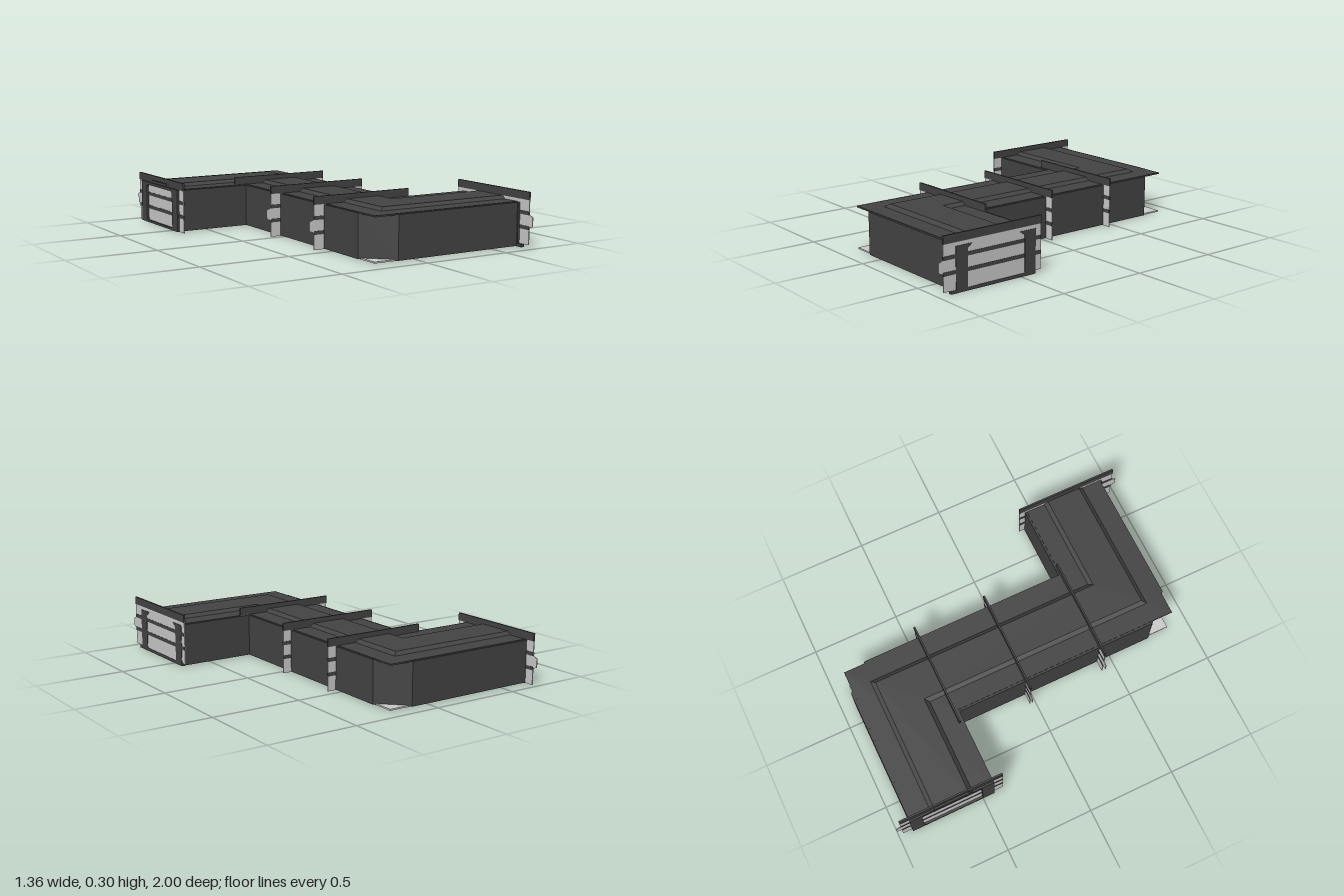
import * as THREE from 'three';

const dark = new THREE.MeshStandardMaterial({ color: 0x444444, flatShading: true });
const grey = new THREE.MeshStandardMaterial({ color: 0xcccccc, flatShading: true });

function add(parent, name, geometry, material) {
  const mesh = new THREE.Mesh(geometry, material);
  mesh.name = name;
  parent.add(mesh);
  return mesh;
}

function box(parent, name, x0, x1, y0, y1, z0, z1, material = dark) {
  const mesh = add(parent, name, new THREE.BoxGeometry(x1 - x0, y1 - y0, z1 - z0), material);
  mesh.position.set((x0 + x1) / 2, (y0 + y1) / 2, (z0 + z1) / 2);
  return mesh;
}

function extrude(points, depth) {
  const shape = new THREE.Shape(points.map(([x, y]) => new THREE.Vector2(x, y)));
  return new THREE.ExtrudeGeometry(shape, { depth, bevelEnabled: false });
}

// Slab from a plan outline of [x, z] points
function slab(parent, name, plan, y0, y1, material) {
  const geometry = extrude(plan.map(([x, z]) => [x, -z]), y1 - y0);
  geometry.rotateX(-Math.PI / 2).translate(0, y0, 0);
  return add(parent, name, geometry, material);
}

// Sweeps an [offset, y] profile along the centre line with mitred corners
function sweep(parent, name, profile, material) {
  const path = [[-0.684, -0.675, 0], [-0.005, -0.675, -1], [-0.005, 0.655, -1], [0.676, 0.655, 0]];
  const positions = [], index = [], n = profile.length;
  for (const [x, z, mitre] of path)
    for (const [offset, y] of profile) positions.push(x + mitre * offset, y, z + offset);
  for (let i = 0; i < path.length - 1; i++)
    for (let j = 0; j < n - 1; j++) {
      const a = i * n + j, b = a + 1, c = a + n, d = c + 1;
      index.push(a, b, c, b, d, c);
    }
  let geometry = new THREE.BufferGeometry();
  geometry.setAttribute('position', new THREE.Float32BufferAttribute(positions, 3));
  geometry.setIndex(index);
  geometry = geometry.toNonIndexed();
  geometry.computeVertexNormals();
  return add(parent, name, geometry, material);
}

// Thin bulkhead standing along local x: grey panel, dark top rail and two dark bars
function bulkhead(parent, name, lo, hi, tab) {
  const group = new THREE.Group();
  group.name = name;
  const outline = [[lo, 0], [hi, 0]];
  if (tab > 0) outline.push([hi, 0.09], [hi + 0.027, 0.1], [hi + 0.027, 0.15], [hi, 0.16]);
  outline.push([hi, 0.24], [lo, 0.24]);
  if (tab < 0) outline.push([lo, 0.16], [lo - 0.027, 0.15], [lo - 0.027, 0.1], [lo, 0.09]);
  add(group, 'panel', extrude(outline, 0.005).translate(0, 0, -0.0025), grey);
  box(group, 'topRail', lo, hi, 0.238, 0.281, -0.005, 0.005);
  for (const y of [0.09, 0.168]) box(group, 'crossBar', lo, hi, y - 0.01, y + 0.01, -0.004, 0.004);
  parent.add(group);
  return group;
}

// Upright on an end, flared towards the opening at top and bottom
function endPost(parent, x0, x1, outer, inner) {
  const flare = inner + Math.sign(inner - outer) * 0.03;
  const points = [[-outer, 0], [-flare, 0], [-inner, 0.018], [-inner, 0.212], [-flare, 0.235], [-outer, 0.235]];
  const mesh = add(parent, 'endPost', extrude(points, x1 - x0).rotateY(Math.PI / 2), dark);
  mesh.position.x = x0;
}

export function createModel() {
  const model = new THREE.Group();
  model.name = 'corridor';

  // Corridor walls with chamfered outer corners
  slab(model, 'walls', [
    [-0.662, -0.92], [0.1, -0.92], [0.24, -0.78], [0.24, 0.41], [0.67, 0.41],
    [0.67, 0.893], [-0.1, 0.893], [-0.247, 0.75], [-0.247, -0.43], [-0.662, -0.43],
  ], 0.002, 0.235, dark);

  // Floor and roof sheets keep their square corners
  const sheet = [
    [-0.675, -0.907], [0.228, -0.907], [0.228, 0.422], [0.67, 0.422],
    [0.67, 0.88], [-0.235, 0.88], [-0.235, -0.442], [-0.675, -0.442],
  ];
  slab(model, 'floor', sheet, 0, 0.008, grey);
  slab(model, 'roof', sheet, 0.23, 0.238, dark);

  // Raised roof duct and the two seams under the floor
  sweep(model, 'roofDuct', [[-0.125, 0.236], [-0.1, 0.255], [0.1, 0.255], [0.125, 0.236]], dark);
  for (const offset of [-0.125, 0.125])
    sweep(model, 'floorSeam', [[offset + 0.01, -0.001], [offset - 0.01, -0.001]], dark);

  // Bulkheads across the middle run
  bulkhead(model, 'rearRib', -0.307, 0.29, 0).position.z = -0.455;
  bulkhead(model, 'middleRib', -0.307, 0.29, -1).position.z = -0.03;
  bulkhead(model, 'frontRib', -0.307, 0.29, -1).position.z = 0.424;

  // Left end
  const leftEnd = bulkhead(model, 'leftEnd', 0.375, 0.973, 1);
  leftEnd.rotation.y = -Math.PI / 2;
  leftEnd.position.set(0.675, 0.017, 0);
  endPost(model, 0.66, 0.68, 0.41, 0.48);
  endPost(model, 0.66, 0.68, 0.9, 0.83);
  box(model, 'leftSill', 0.66, 0.68, 0, 0.017, 0.41, 0.93);

  // Right end, with a shallow lip in front of the panel
  const rightEnd = bulkhead(model, 'rightEnd', -0.973, -0.373, -1);
  rightEnd.rotation.y = -Math.PI / 2;
  rightEnd.position.x = -0.669;
  endPost(model, -0.684, -0.66, -0.92, -0.85);
  endPost(model, -0.684, -0.66, -0.43, -0.5);
  box(model, 'rightSill', -0.684, -0.66, 0, 0.012, -0.92, -0.43);
  box(model, 'rightLintel', -0.684, -0.66, 0.222, 0.238, -0.92, -0.43);

  return model;
}
